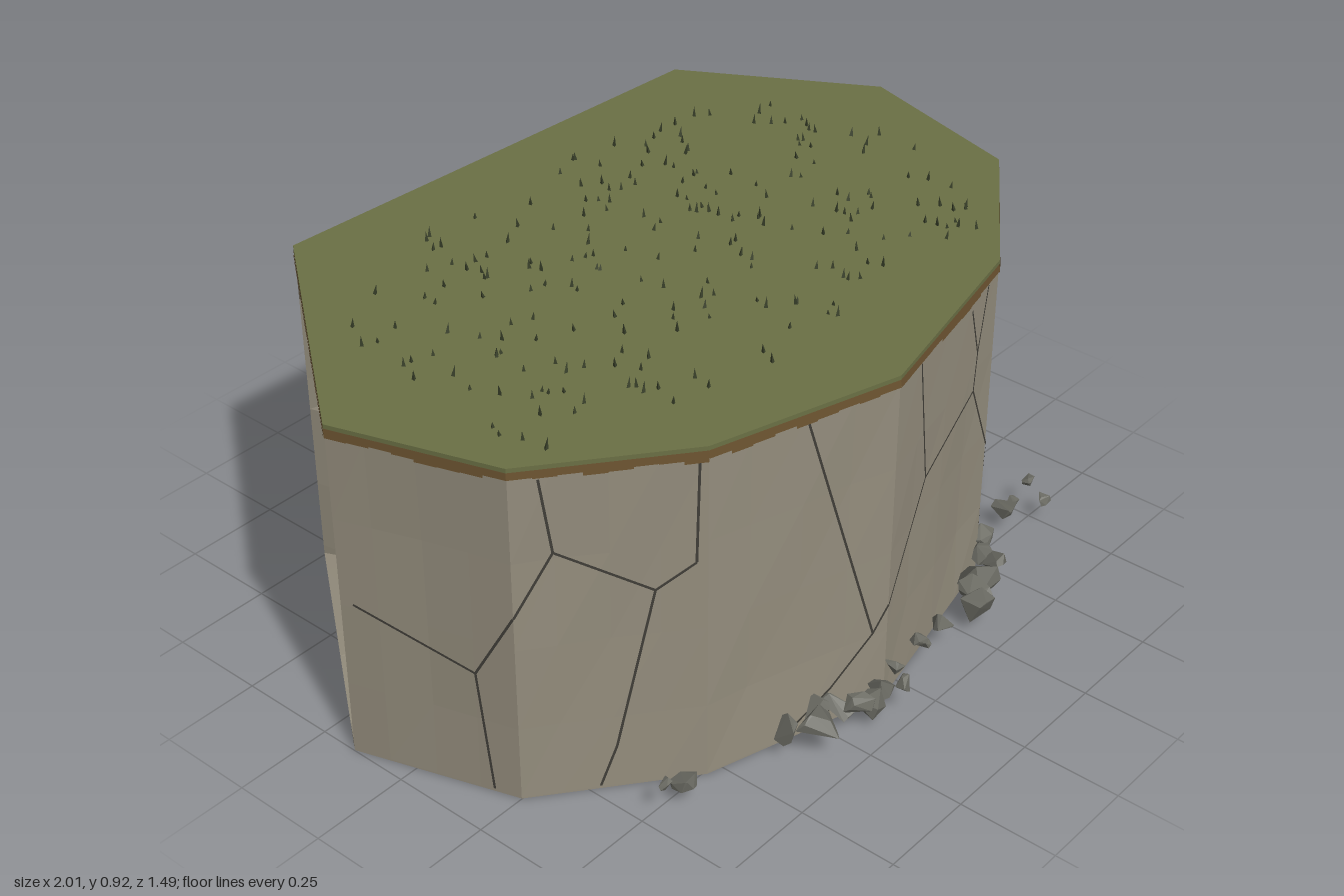
import * as THREE from 'three';
import { mergeGeometries } from 'three/addons/utils/BufferGeometryUtils.js';
import { ConvexGeometry } from 'three/addons/geometries/ConvexGeometry.js';

// Cliff outline (x, z): from the -x corner along the front to +x, then along the back
const OUTLINE = [[-1, -0.15], [-0.87, 0.25], [-0.54, 0.51], [-0.07, 0.65], [0.47, 0.53],
  [0.87, 0.25], [1, -0.21], [0.73, -0.68], [-0.54, -0.75]];
const N = OUTLINE.length, BASE = 0.005, ROCK_TOP = 0.875;

const paint = (name, color, extra = {}) =>
  Object.assign(new THREE.MeshStandardMaterial({ color, flatShading: true, ...extra }), { name });

function seeded(seed) {
  return () => (seed = (seed * 16807) % 2147483647) / 2147483647;
}

// Point on wall i, t along it, at height y, pushed inward by depth
function wallPoint(i, t, y, depth = 0) {
  const [ax, az] = OUTLINE[i], [bx, bz] = OUTLINE[(i + 1) % N];
  const n = wallNormal(i);
  return new THREE.Vector3(ax + (bx - ax) * t, y, az + (bz - az) * t).addScaledVector(n, -depth);
}
function wallNormal(i) {
  const [ax, az] = OUTLINE[i], [bx, bz] = OUTLINE[(i + 1) % N];
  return new THREE.Vector3(az - bz, 0, bx - ax).normalize();
}

function fromTriangles(points) {
  return new THREE.BufferGeometry().setFromPoints(points);
}
const quad = (a, b, c, d) => [a, b, c, a, c, d];

// Faceted wall from columns ts, rows ys and a depth rule
function wallGrid(i, ts, ys, depth) {
  const p = ys.map((y, r) => ts.map((t, c) => wallPoint(i, t, y, depth(r, c))));
  const tris = [];
  for (let r = 0; r < ys.length - 1; r++) {
    for (let c = 0; c < ts.length - 1; c++) {
      tris.push(...quad(p[r][c], p[r][c + 1], p[r + 1][c + 1], p[r + 1][c]));
    }
  }
  return fromTriangles(tris);
}

// Flat slab with the cliff outline
function slab(y0, y1, grow) {
  const shape = new THREE.Shape(OUTLINE.map(([x, z]) => new THREE.Vector2(x * grow, -z * grow)));
  const g = new THREE.ExtrudeGeometry(shape, { depth: y1 - y0, bevelEnabled: false });
  return g.rotateX(-Math.PI / 2).translate(0, y0, 0);
}

// Thin ribbon between two points lying on a face with normal n
function ribbon(a, b, n, width) {
  const side = b.clone().sub(a).cross(n).setLength(width / 2);
  const lift = n.clone().multiplyScalar(0.002);
  const at = (p, s) => p.clone().addScaledVector(side, s).add(lift);
  return quad(at(a, -1), at(a, 1), at(b, 1), at(b, -1));
}

// Convert a coordinate (axis 0 = x, 1 = z) on walls first..last to wall index + fraction
function along(axis, v, first, last) {
  for (let i = first; i <= last; i++) {
    const a = OUTLINE[i][axis], b = OUTLINE[(i + 1) % N][axis], t = (v - a) / (b - a);
    if (t >= -1e-6 && (t <= 1 || i === last)) return i + Math.min(Math.max(t, 0), 0.9999);
  }
  return first;
}

// Crack path over the walls, split where it turns a corner
function crackPath(points, axis, first, last) {
  const out = [];
  for (let k = 0; k < points.length - 1; k++) {
    let s0 = along(axis, points[k][0], first, last), y0 = points[k][1];
    let s1 = along(axis, points[k + 1][0], first, last), y1 = points[k + 1][1];
    if (s0 > s1) [s0, y0, s1, y1] = [s1, y1, s0, y0];
    for (let i = Math.floor(s0); i <= Math.floor(s1); i++) {
      const u0 = Math.max(s0, i), u1 = Math.min(s1, i + 1);
      const yAt = (u) => (s1 - s0 < 1e-5 ? y0 : y0 + (y1 - y0) * (u - s0) / (s1 - s0));
      const end = s1 - s0 < 1e-5 ? y1 : yAt(u1);
      const a = wallPoint(i, u0 - i, yAt(u0)), b = wallPoint(i, u1 - i, end);
      if (a.distanceTo(b) > 0.004) out.push(...ribbon(a, b, wallNormal(i), 0.006));
    }
  }
  return out;
}

const FRONT_CRACKS = [
  [[-0.82, 0.86], [-0.8, 0.67], [-0.63, 0.54], [-0.56, 0.6], [-0.555, 0.86]],
  [[-0.63, 0.54], [-0.7, 0.12], [-0.73, 0.01]],
  [[-0.8, 0.67], [-0.9, 0.33], [-0.99, 0.43]], [[-0.9, 0.33], [-0.89, 0.01]],
  [[-0.3, 0.86], [-0.11, 0.21], [-0.22, 0.1], [-0.35, 0.01]],
  [[-0.11, 0.21], [0.1, 0.52], [0.36, 0.6], [0.52, 0.25], [0.81, 0.4], [0.77, 0.86]],
  [[0.1, 0.52], [0.04, 0.86]], [[0.36, 0.6], [0.37, 0.7], [0.32, 0.84]], [[0.37, 0.7], [0.41, 0.86]],
  [[0.52, 0.25], [0.49, 0.01]], [[0.81, 0.4], [0.865, 0.3]],
];
const SIDE_CRACKS = [
  [[0.25, 0.32], [0.21, 0.27], [0.11, 0.38], [-0.02, 0.74], [-0.025, 0.86]],
  [[0.21, 0.27], [0.205, 0.01]],
  [[-0.02, 0.74], [-0.22, 0.72], [-0.31, 0.67], [-0.44, 0.86], [-0.47, 0.61], [-0.675, 0.36]],
  [[0.11, 0.38], [-0.2, 0.15], [-0.31, 0.11], [-0.32, 0.01]],
  [[-0.31, 0.11], [-0.34, 0.37], [-0.31, 0.67]], [[-0.34, 0.37], [-0.47, 0.61]],
  [[-0.675, 0.22], [-0.57, 0.01]],
];
const BACK_CRACKS = [
  [[0.73, 0.42], [0.67, 0.36], [0.41, 0.58], [0.5, 0.86]], [[0.67, 0.36], [0.6, 0.01]],
  [[0.41, 0.58], [0.27, 0.54], [0.08, 0.49], [0, 0.86]], [[0.27, 0.54], [0.37, 0.01]],
  [[0.08, 0.49], [0, 0.01]], [[-0.5, 0.72], [-0.45, 0.01]],
];
const BASE_CRACKS = [
  [[0.8, 0.3], [0.5, 0.1], [0.4, -0.25], [0.6, -0.45], [0.9, -0.36]],
  [[0.4, -0.25], [0, -0.3], [-0.1, -0.72]], [[0.5, 0.1], [0.15, 0.2], [0, -0.3]],
  [[0.15, 0.2], [0.1, 0.6]], [[0, -0.3], [-0.4, -0.1], [-0.45, 0.25], [-0.3, 0.56]],
  [[-0.4, -0.1], [-0.9, -0.05]], [[-0.45, 0.25], [-0.75, 0.33]], [[0.6, -0.45], [0.5, -0.68]],
];

// Fallen stones: x, y, z, radius
const STONES = [[-0.71, 0.1, 0.53, 0.018], [-0.64, 0.06, 0.53, 0.034], [-0.38, 0.075, 0.6, 0.045],
  [-0.33, 0.08, 0.65, 0.055], [-0.29, 0.085, 0.62, 0.04], [-0.23, 0.07, 0.64, 0.045],
  [-0.2, 0.08, 0.67, 0.04], [-0.15, 0.05, 0.68, 0.04], [-0.11, 0.065, 0.67, 0.038],
  [-0.08, 0.09, 0.72, 0.028], [-0.06, 0.1, 0.67, 0.025], [0.06, 0.09, 0.65, 0.022],
  [0.08, 0.07, 0.65, 0.018], [0.17, 0.08, 0.64, 0.035], [0.28, 0.07, 0.66, 0.05],
  [0.32, 0.085, 0.63, 0.045], [0.36, 0.08, 0.61, 0.055], [0.45, 0.08, 0.6, 0.036],
  [0.48, 0.06, 0.55, 0.045], [0.5, 0.085, 0.52, 0.04], [0.66, 0.07, 0.48, 0.036],
  [0.72, 0.05, 0.47, 0.016], [0.76, 0.06, 0.53, 0.022], [0.77, 0.09, 0.48, 0.022]];

export function createModel() {
  const model = new THREE.Group();
  const rand = seeded(4217);
  const rock = paint('rock grey', 0x948d7d, { side: THREE.DoubleSide });
  const crack = paint('crack dark', 0x403e38, { side: THREE.DoubleSide });
  const soil = paint('soil brown', 0x6f5632, { side: THREE.DoubleSide });
  const turf = paint('turf green', 0x6b7045);
  const blade = paint('blade dark green', 0x39402a);
  const rubble = paint('rubble grey', 0x6b6b63);
  const add = (name, geometry, material) => {
    geometry.computeVertexNormals();
    const mesh = new THREE.Mesh(geometry, material);
    mesh.name = name;
    model.add(mesh);
  };

  // Intact rock walls, slightly uneven
  for (let i = 0; i < N - 1; i++) {
    const ts = [0, 0.22, 0.5, 0.76, 1], ys = [BASE, 0.2, 0.42, 0.65, ROCK_TOP];
    add('rockWall' + (i + 1), wallGrid(i, ts, ys, (r, c) =>
      (r % 4 && c % 4 ? rand() * 0.008 : 0)), rock);
  }

  // Broken wall: deep hollow above a ledge, with a block and a cleft below
  const hollow = [
    [0, 0, 0, 0, 0, 0, 0],
    [0, 0.08, 0.09, 0.11, 0.24, 0.13, 0],
    [0, 0.09, 0.07, 0.08, 0.27, 0.15, 0],
    [0, 0.1, 0.08, 0.09, 0.22, 0.12, 0],
    [0, 0.16, 0.24, 0.26, 0.17, 0.08, 0],
    [0, 0.13, 0.22, 0.2, 0.16, 0.12, 0],
    [0, 0, 0, 0, 0, 0, 0]];
  add('brokenWall', wallGrid(N - 1, [0, 0.1, 0.43, 0.55, 0.72, 0.88, 1],
    [BASE, 0.03, 0.22, 0.44, 0.53, 0.75, ROCK_TOP], (r, c) => hollow[r][c]), rock);
  add('rockBase', slab(BASE - 0.005, BASE, 0.999), rock);

  // Cracks
  const lines = [
    ...FRONT_CRACKS.flatMap((p) => crackPath(p, 0, 0, 4)),
    ...SIDE_CRACKS.flatMap((p) => crackPath(p, 1, 5, 6)),
    ...BACK_CRACKS.flatMap((p) => crackPath(p, 0, 7, 7)),
  ];
  const down = new THREE.Vector3(0, -1, 0);
  for (const path of BASE_CRACKS) {
    const p = path.map(([x, z]) => new THREE.Vector3(x, 0.0015, z));
    for (let k = 1; k < p.length; k++) lines.push(...ribbon(p[k - 1], p[k], down, 0.006));
  }
  add('cracks', fromTriangles(lines), crack);

  // Soil layer with a ragged lower edge
  add('soilLayer', slab(0.865, 0.884, 1.002), soil);
  const ragged = [];
  for (let i = 0; i < N; i++) {
    const steps = Math.ceil(wallPoint(i, 0, 0).distanceTo(wallPoint(i, 1, 0)) / 0.06);
    for (let k = 0; k < steps; k++) {
      const low = 0.855 + rand() * 0.013, a = k / steps, b = (k + 1) / steps;
      ragged.push(...quad(wallPoint(i, a, low, -0.003), wallPoint(i, b, low, -0.003),
        wallPoint(i, b, 0.88, -0.003), wallPoint(i, a, 0.88, -0.003)));
    }
  }
  add('soilEdge', fromTriangles(ragged), soil);

  // Turf and scattered blades
  add('turf', slab(0.884, 0.895, 1.002), turf);
  const blades = [];
  while (blades.length < 230) {
    const u = rand() * 2 - 1, v = rand() * 2 - 1;
    if (u ** 4 + v ** 4 > 1) continue;
    const h = 0.016 + rand() * 0.016;
    blades.push(new THREE.ConeGeometry(0.006, h, 3).rotateY(rand() * 6)
      .rotateZ((rand() - 0.5) * 0.5).translate(u * 0.8 - 0.01, 0.892 + h / 2, v * 0.5 - 0.055));
  }
  add('grassBlades', mergeGeometries(blades), blade);

  // Angular stones along the front foot
  STONES.forEach(([x, y, z, r], i) => {
    const pts = Array.from({ length: 11 }, () => new THREE.Vector3(
      rand() - 0.5, rand() - 0.5, rand() - 0.5).setLength(r * (0.85 + rand() * 0.3)));
    pts.forEach((p) => { p.y *= 0.75; });
    add('stone' + (i + 1), new ConvexGeometry(pts).translate(x, y, z), rubble);
  });
  return model;
}
